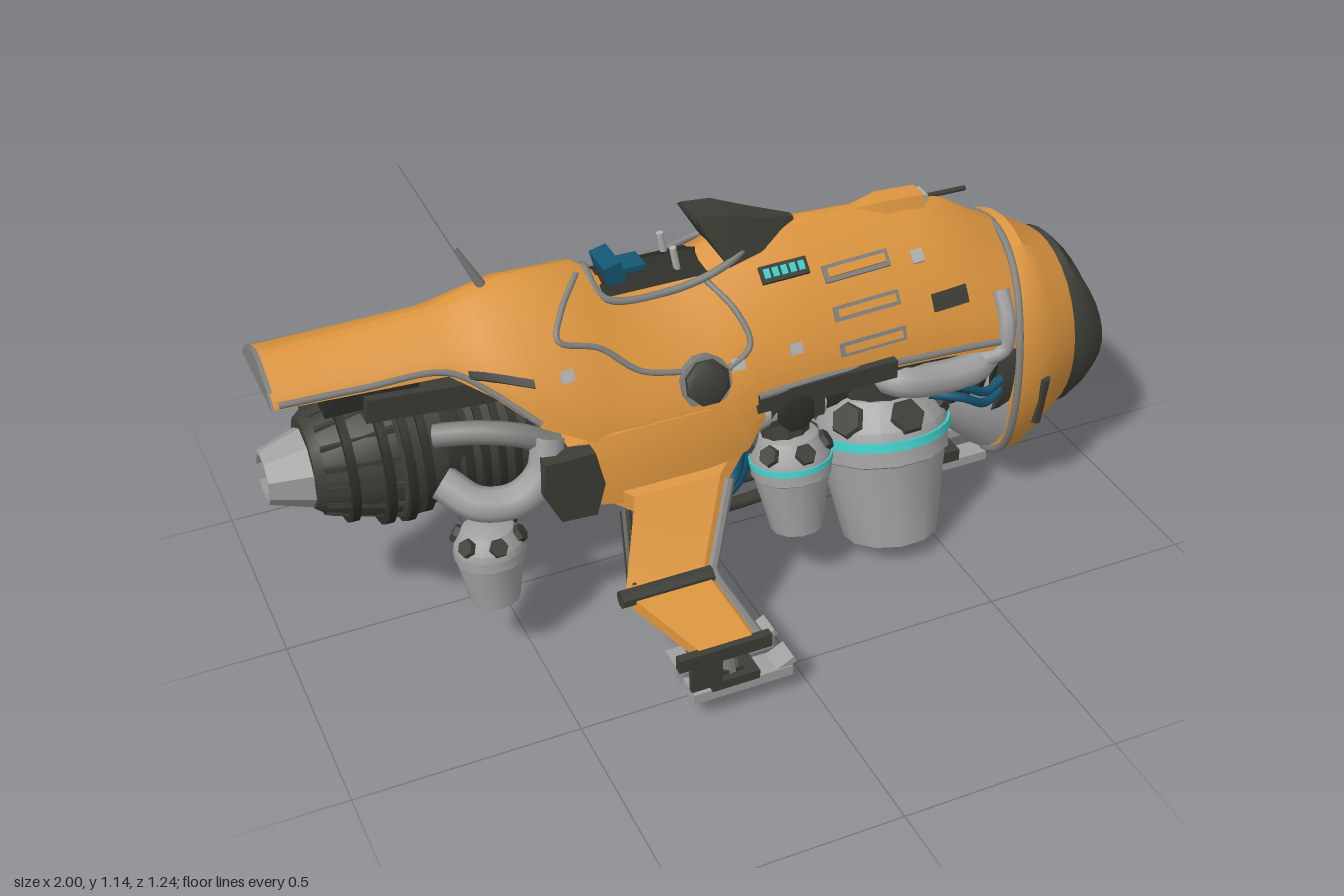
import * as THREE from 'three';
import { toCreasedNormals } from 'three/addons/utils/BufferGeometryUtils.js';

const V = (x, y, z) => new THREE.Vector3(x, y, z);
const paint = (name, color) => {
  const m = new THREE.MeshStandardMaterial({ color });
  m.name = name;
  return m;
};

export function createModel() {
  const model = new THREE.Group();
  model.name = 'aircraft';
  const orange = paint('orange paint', 0xdc953f), dark = paint('dark metal', 0x3d3e37), black = paint('black recess', 0x2c2d27);
  const grey = paint('grey metal', 0xa0a0a0), pale = paint('pale trim', 0xb0b0ae), mid = paint('mid grey metal', 0x80817e);
  const blue = paint('blue hose', 0x155672), cyan = paint('cyan glow', 0x43cfca);

  const add = (name, geo, mat) => {
    const m = new THREE.Mesh(geo, mat);
    m.name = name;
    model.add(m);
    return m;
  };
  // Skin a row of closed cross-sections, turned so that it always faces outward
  const loft = (name, mat, rings, crease = 0.6, cap = true) => {
    const n = rings[0].length, pts = rings.flat(), idx = [];
    for (let i = 0; i < rings.length - 1; i++)
      for (let j = 0; j < n; j++) {
        const a = i * n + j, b = i * n + (j + 1) % n;
        idx.push(a, b, a + n, b, b + n, a + n);
      }
    if (cap) [0, rings.length - 1].forEach((r, e) => {
      const c = pts.length;
      pts.push(rings[r].reduce((s, p) => s.add(p), V(0, 0, 0)).divideScalar(n));
      for (let j = 0; j < n; j++) {
        const a = r * n + j, b = r * n + (j + 1) % n;
        idx.push(...(e ? [c, a, b] : [c, b, a]));
      }
    });
    let vol = 0;
    const mean = pts.reduce((s, p) => s.add(p), V(0, 0, 0)).divideScalar(pts.length);
    const q = pts.map(p => p.clone().sub(mean));
    for (let i = 0; i < idx.length; i += 3) vol += q[idx[i]].dot(q[idx[i + 1]].clone().cross(q[idx[i + 2]]));
    if (vol < 0) idx.reverse();
    const g = new THREE.BufferGeometry().setFromPoints(pts);
    g.setIndex(idx);
    return add(name, toCreasedNormals(g, crease), mat);
  };
  // Turned part: profile of [radius, height] along an axis from a base point
  const turned = (name, mat, base, dir, profile, n = 16, crease = 0.6) => {
    const d = dir.clone().normalize();
    const u = (Math.abs(d.x) > 0.9 ? V(0, 1, 0) : V(1, 0, 0)).cross(d).normalize(), w = d.clone().cross(u);
    return loft(name, mat, profile.map(([r, h]) => Array.from({ length: n }, (_, j) => {
      const a = (j + 0.5) / n * Math.PI * 2;
      return base.clone().addScaledVector(d, h).addScaledVector(u, r * Math.cos(a)).addScaledVector(w, r * Math.sin(a));
    })), crease);
  };
  const rod = (name, mat, a, b, r, r2 = r, n = 10) => turned(name, mat, a, b.clone().sub(a), [[r, 0], [r2, a.distanceTo(b)]], n);
  const box = (name, mat, c, sx, sy, sz, rx = 0, rz = 0) => {
    const m = add(name, new THREE.BoxGeometry(sx, sy, sz), mat);
    m.position.copy(c);
    m.rotation.set(rx, 0, rz);
    return m;
  };
  const tube = (name, mat, pts, r, closed = false) =>
    add(name, new THREE.TubeGeometry(new THREE.CatmullRomCurve3(pts, closed), pts.length * 6, r, 8, closed), mat);
  // Upright oval section; bend pushes its top and bottom along x
  const oval = (x, cy, ry, rz, bend = 0, n = 32) => Array.from({ length: n }, (_, j) => {
    const a = j / n * Math.PI * 2;
    return V(x + bend * Math.cos(a) ** 2, cy + ry * Math.cos(a), rz * Math.sin(a));
  });

  // Main hull: stations of x, top, bottom, half width
  const stations = [[-0.98, .775, .715, .12], [-0.62, .79, .70, .125], [-0.54, .815, .65, .165], [-0.46, .83, .59, .23],
    [-0.3, .83, .5, .245], [-0.25, .79, .5, .25], [-0.04, .78, .5, .25], [0.04, .815, .52, .24], [0.2, .815, .52, .23],
    [0.5, .80, .5, .225], [0.58, .785, .49, .225], [0.66, .735, .48, .225], [0.76, .675, .45, .215]];
  const station = x => {
    const i = Math.max(1, stations.findIndex(s => s[0] >= x)), a = stations[i - 1], b = stations[i];
    return a.map((v, k) => v + (b[k] - v) * (x - a[0]) / (b[0] - a[0]));
  };
  const hullPoint = (x, y, s, off = 0) => {
    const [, top, bot, hw] = station(x), t = Math.min(1, Math.max(0, (y - bot) / (top - bot)));
    const p = V(x, bot + t * (top - bot), hw * Math.pow(1 - Math.pow(t, 1.6), 0.78) * s);
    return p.add(V(0, p.y - 0.5, p.z).normalize().multiplyScalar(off));
  };
  loft('hull', orange, stations.map(([x, top, bot]) => {
    const half = s => Array.from({ length: 12 }, (_, k) => hullPoint(x, top - (top - bot) * (1 - k / 12) ** 1.7, s));
    return [...half(1), V(x, top, 0), ...half(-1).reverse()];
  }), 0.7);
  // Thin plate that follows the hull between two x and two y values
  const patch = (name, mat, x0, x1, y0, y1, s, off = 0.005, slant = 0) =>
    loft(name, mat, [0, .25, .5, .75, 1].map(f => {
      const x = x0 + (x1 - x0) * f, ys = [0, 1, 2, 3].map(k => y0 + (y1 - y0) * k / 3 + slant * f);
      return [...ys.map(y => hullPoint(x, y, s, off)), ...ys.reverse().map(y => hullPoint(x, y, s, off - 0.009))];
    }), 0.5);

  // Cockpit
  const trim = [[-.27, .0], [-.25, .065], [-.1, .075], [.04, .07], [.14, 0]];
  tube('cockpitTrim', mid, [...trim, ...trim.slice(1, 4).reverse().map(([x, z]) => [x, -z])]
    .map(([x, z]) => V(x, hullPoint(x, 1, 1).y - Math.abs(z) * 0.5, z)), 0.009, true);
  loft('cockpitTub', black, [-.25, -.15, -.04, .02].map(x => [V(x, .76, .066), V(x, .792, 0), V(x, .76, -.066), V(x, .72, 0)]));
  box('seat', blue, V(-.215, .79, 0), .04, .06, .085, 0, .25);
  box('seatCushion', blue, V(-.17, .79, 0), .06, .012, .06);
  for (const z of [.035, -.035]) rod('controlStick', pale, V(-.07, .77, z), V(-.08, .825, z), .008);
  loft('windscreen', dark, [[-.03, .875, .89, .035, .055], [.04, .76, .88, .04, .08], [.13, .765, .845, .03, .065], [.22, .785, .818, .008, .02]]
    .map(([x, lo, hi, wt, wb]) => [V(x, lo, wb), V(x, hi, wt), V(x, hi, -wt), V(x, lo, -wb)]), 0.3);
  // Antenna
  rod('antennaBase', mid, V(-.5, .82, 0), V(-.55, .92, 0), .011, .005);
  rod('antenna', mid, V(-.55, .91, 0), V(-.655, 1.14, 0), .0014, .0008, 5);
  // Nose probe
  loft('probeMount', orange, [[.34, .8, .005, .03], [.44, .812, .025, .04], [.54, .806, .025, .035]]
    .map(([x, y, w, b]) => [V(x, .775, b), V(x, y, w), V(x, y, -w), V(x, .775, -b)]), 0.3);
  box('probeSocket', pale, V(.545, .785, 0), .014, .032, .042);
  rod('probe', dark, V(.55, .785, 0), V(.66, .783, 0), .006);

  // Nose cowl, dark intake lip, fan and spinner
  loft('noseCowl', orange, [[.695, .375, .29, .225, .045], [.695, .375, .305, .245, .045], [.745, .375, .309, .247, .025], [.8, .378, .282, .228], [.875, .382, .232, .192]]
    .map(a => oval(...a)), 0.7);
  tube('cowlSeam', mid, oval(.69, .375, .306, .244, .045, 24), .009, true);
  turned('cowlGap', dark, V(.672, .4, 0), V(1, 0, 0), [[.215, 0], [.222, .035]], 28);
  const lip = [[.86, .382, .222, .186], [.905, .382, .228, .191, -.01], [.945, .38, .205, .178, -.025], [.972, .378, .17, .162, -.035], [.962, .37, .14, .152, -.03], [.88, .37, .125, .14]];
  loft('intakeLip', dark, [...lip, lip[0]].map(a => oval(...a)), 0.8, false);
  loft('fanBack', black, [oval(.87, .37, .135, .145), oval(.885, .37, .135, .145)]);
  for (let i = 0; i < 18; i++) {
    const a = i / 18 * Math.PI * 2, b = box('fanBlade', dark, V(.91, .368 + .095 * Math.cos(a), .1 * Math.sin(a)), .035, .08, .009);
    b.rotation.set(a, .5, 0, 'XYZ');
  }
  turned('spinner', dark, V(.88, .365, 0), V(1, 0, 0), [[.07, 0], [.07, .035], [.055, .07], [.03, .097], [.004, .115]], 20);
  loft('chinPanel', grey, [[.58, .3, .1, .08], [.64, .32, .18, .15], [.71, .345, .27, .21]].map(a => oval(...a)));
  tube('chinTrim', pale, [-.14, -.07, 0, .07, .14].map(z => V(.85 - z * z, .135 + z * z * 2.6, z)), .016);

  // Inner machinery core with ribs
  turned('machineryCore', dark, V(-.66, .46, 0), V(1, 0, 0), [[.13, 0], [.15, .15], [.155, .5], [.145, .8], [.16, 1.0], [.17, 1.36]], 16);
  for (let i = 0; i < 7; i++) turned('coreRib', black, V(.5 + i * .027, .42, 0), V(1, 0, 0), [[.185, 0], [.185, .013]], 20);
  for (let i = 0; i < 5; i++) turned('rearRib', black, V(-.6 + i * .035, .46, 0), V(1, 0, 0), [[.155, 0], [.155, .016]], 18);
  loft('bellyPanel', grey, [[-.42, .37, .08, .13], [-.3, .35, .09, .17], [-.1, .36, .08, .17], [.02, .4, .05, .12]].map(a => oval(...a, 0, 12)), 0.3);

  // Rear engine and its nozzle
  turned('rearEngine', dark, V(-.6, .485, 0), V(-1, 0, 0), [[.13, 0], [.15, .04], [.15, .1], [.165, .1], [.165, .135], [.155, .14], [.145, .2], [.115, .29], [.1, .31]], 20, 0.4);
  for (const [x, r] of [[-.675, .165], [-.715, .175], [-.76, .17], [-.83, .147]])
    turned('engineBand', black, V(x, .485, 0), V(-1, 0, 0), [[r, 0], [r, .018]], 20);
  for (let i = 0; i < 16; i++) {
    const a = i / 16 * Math.PI * 2, p = (x, r) => V(x, .485 + r * Math.cos(a), r * Math.sin(a));
    rod('engineSlat', dark, p(-.74, .155), p(-.89, .112), .009, .009, 4);
  }
  turned('tailNozzle', grey, V(-.89, .475, 0), V(-1, 0, 0), [[.095, 0], [.06, .11], [.05, .11], [.07, .03]], 9, 0.2);
  turned('tailNozzleCore', mid, V(-.92, .475, 0), V(-1, 0, 0), [[.06, 0], [.05, .04]], 9);

  // Thruster pod pointing down: base, upward axis, mouth radius, shoulder radius, height
  const thruster = (base, up, r0, r1, h, glow) => {
    turned('thrusterNozzle', grey, base, up, [[r0 * .9, h * .2], [r0 * .96, 0], [r0, 0], [r1 * .95, h * .8], [r1, h * .82], [r1, h]], 12, 0.55);
    turned('thrusterMouth', mid, base, up, [[r0 * .9, h * .12], [r0 * .9, h * .18]], 12);
    if (glow) turned('thrusterGlow', cyan, base, up, [[r1 * 1.03, h * .97], [r1 * 1.03, h * 1.05]], 20);
    turned('thrusterDome', grey, base, up, [[r1, h], [r1 * .97, h * 1.13], [r1 * .72, h * 1.36], [r1 * .4, h * 1.45]], 20, 0.5);
    const d = up.clone().normalize();
    for (let i = 0; i < 6; i++) {
      const a = i / 6 * Math.PI * 2 + .5, o = V(Math.cos(a), 0, Math.sin(a)).projectOnPlane(d).normalize();
      turned('thrusterVent', dark, base.clone().addScaledVector(d, h * 1.22).addScaledVector(o, r1 * .84), o.clone().addScaledVector(d, .6), [[r1 * .28, 0], [r1 * .24, .012]], 6);
    }
  };

  for (const s of [1, -1]) {
    const P = (x, y, z) => V(x, y, z * s);
    // Lift thrusters
    thruster(P(.4, .03, .2), P(0, .964, -.265), .112, .157, .265, true);
    thruster(P(.13, .16, .245), P(-.02, .97, -.2), .06, .092, .17, true);
    thruster(P(-.575, .16, .2), P(-.01, .99, -.12), .055, .078, .13, false);
    rod('thrusterNeck', dark, P(.4, .36, .11), P(.4, .52, .1), .1, .12, 14);
    rod('thrusterNeck', dark, P(.12, .36, .2), P(.12, .52, .16), .055, .06);
    // Pipes and hoses
    tube('sidePipe', grey, [P(.36, .46, .16), P(.4, .455, .21), P(.5, .44, .215), P(.6, .44, .205), P(.65, .46, .17)], .038);
    tube('cowlPipe', grey, [P(.61, .46, .215), P(.655, .48, .222), P(.665, .54, .215), P(.665, .61, .175)], .02);
    tube('rearPipe', grey, [P(-.66, .46, .15), P(-.6, .42, .2), P(-.52, .42, .22), P(-.46, .47, .22), P(-.44, .55, .2)], .038);
    tube('upperRearPipe', mid, [P(-.66, .56, .12), P(-.58, .57, .16), P(-.5, .56, .19), P(-.42, .52, .2)], .026);
    tube('elbowPipe', grey, [P(.0, .38, .17), P(.04, .45, .2), P(.1, .47, .21), P(.2, .45, .2)], .03);
    for (const o of [0, .03]) tube('frontHose', blue, [P(.48, .42 - o, .2), P(.55, .41 - o, .23), P(.62, .37 - o, .22), P(.69, .38 - o, .19)], .011);
    tube('bellyHose', blue, [P(-.15, .36, .08), P(-.15, .22, .1), P(-.06, .13, .08), P(.05, .19, .08), P(.09, .34, .1)], .018);
    tube('crossHose', blue, [P(-.09, .36, .12), P(-.06, .24, .13), P(.03, .22, .11), P(.06, .36, .1)], .013);
    tube('keelHose', dark, [P(-.18, .32, .05), P(-.12, .17, .05), P(.0, .11, .05), P(.15, .1, .04), P(.32, .13, .04), P(.45, .3, .05)], .016);
    // Side shoulder and wing
    loft('sideShoulder', orange, [[-.44, .37, .52, .24], [-.3, .355, .54, .265], [-.1, .365, .54, .265], [0, .4, .53, .255], [.05, .46, .52, .235]]
      .map(([x, lo, hi, z]) => [P(x, lo, z - .08), P(x, lo + .02, z + .005), P(x, hi - .05, z), P(x, hi, z - .02), P(x, hi, .1)]), 0.4);
    loft('shoulderBack', dark, [.19, .272].map(z => [P(-.44, .37, z), P(-.36, .365, z), P(-.34, .44, z), P(-.36, .525, z), P(-.47, .525, z), P(-.48, .45, z)]), 0.3);
    loft('wing', orange, [[-.36, .02, .41, .22, .05], [-.28, -.06, .375, .285, .04], [-.35, -.15, .245, .4, .032], [-.345, -.15, .23, .425, .03], [-.275, -.135, .208, .605, .026]]
      .map(([x0, x1, y, z, t]) => [P(x0, y - t / 2, z), P(x1 - .02, y - t / 2, z), P(x1, y, z), P(x1 - .02, y + t / 2, z), P(x0, y + t / 2, z)]), 0.3);
    const edge = [P(-.06, .375, .285), P(-.152, .243, .402), P(-.152, .23, .425), P(-.137, .208, .605)];
    for (let i = 0; i < 3; i++) rod('wingLeadingEdge', mid, edge[i], edge[i + 1], .013, .013, 8);
    rod('wingJoint', dark, P(-.37, .243, .415), P(-.16, .243, .415), .02, .02, 8);
    rod('wingStrut', dark, P(-.34, .225, .42), P(-.3, .36, .28), .013);
    box('wingTip', dark, P(-.22, .205, .61), .21, .032, .02);
    box('wingTipFin', dark, P(-.26, .165, .607), .07, .09, .014);
    // Wing landing gear: legs with long skids
    box('gearMount', dark, P(-.2, .192, .505), .09, .025, .13);
    for (const z of [.457, .552]) {
      rod('gearLeg', mid, P(-.19, .19, z), P(-.18, .09, z), .02);
      rod('gearBrace', grey, P(-.14, .19, z), P(-.21, .09, z), .01);
      box('skid', grey, P(-.16, .065, z), .23, .025, .06);
      box('skidPad', dark, P(-.18, .088, z), .11, .022, .07);
      box('skidTip', grey, P(-.06, .08, z), .05, .016, .055, 0, .5);
    }
    box('skidBridge', dark, P(-.18, .098, .505), .05, .02, .13);
    // Front landing gear
    rod('frontGearLeg', mid, P(.62, .3, .05), P(.6, .09, .055), .017);
    rod('frontGearBrace', dark, P(.54, .28, .05), P(.62, .1, .055), .011);
    box('frontSkid', grey, P(.62, .062, .055), .22, .024, .05);
    box('frontSkidPad', dark, P(.59, .09, .055), .12, .03, .06);
    // Under-tail rails
    box('tailRail', dark, P(-.6, .65, .105), .4, .055, .06, 0, -.09);
    box('tailRailBlock', black, P(-.78, .685, .09), .2, .045, .05);
    // Hull markings: grooves, vents, glowing grille and seams
    for (const y of [.575, .645, .715]) {
      patch('hullGroove', mid, .24, .405, y - .007, y + .021, s, .005);
      patch('hullGrooveFill', orange, .25, .395, y, y + .014, s, .009);
    }
    patch('grillFrame', dark, .095, .21, .732, .758, s, .006);
    for (let i = 0; i < 5; i++) patch('grillGlow', cyan, .103 + i * .021, .117 + i * .021, .738, .752, s, .009);
    patch('sideVent', dark, .485, .575, .605, .64, s, .007);
    patch('tailSlot', dark, -.58, -.46, .69, .705, s, .006, -.02);
    for (const [x, y] of [[-.02, .6], [.46, .7], [.12, .6], [-.4, .66]]) patch('wearMark', pale, x, x + .03, y, y + .022, s, .005);
    box('lowerSidePanel', dark, P(.2, .515, .222), .34, .045, .04);
    box('lowerSidePanelStep', dark, P(.13, .475, .215), .13, .07, .04);
    turned('lowerPort', black, P(.12, .47, .225), P(0, .1, 1), [[.045, 0], [.045, .025], [.03, .03]], 8);
    turned('sidePort', dark, P(-.085, .59, .2), P(0, .3, 1), [[.052, 0], [.052, .035], [.035, .045]], 8);
    turned('sidePortRing', mid, P(-.085, .585, .19), P(0, .3, 1), [[.06, 0], [.06, .035]], 12);
    rod('cowlSlot', dark, P(.765, .38, .24), P(.762, .25, .222), .014, .014, 8);
    const line = pts => pts.map(([x, y]) => hullPoint(x, y, s, 0));
    tube('rearSeam', mid, line([[-.3, .815], [-.36, .77], [-.385, .73], [-.3, .7], [-.22, .64], [-.13, .62]]), .007);
    tube('frontSeam', mid, line([[-.04, .6], [.03, .64], [.02, .7], [-.02, .75]]), .007);
    tube('lowerSeam', mid, line([[.03, .535], [.2, .535], [.4, .52], [.55, .51], [.66, .5]]), .008);
    tube('tailEdge', mid, line([[-.97, .722], [-.8, .717], [-.62, .708], [-.54, .66], [-.46, .6]]), .007);
  }
  loft('tailEnd', mid, [-.985, -.975].map(x => [V(x, .712, .122), V(x, .748, .088), V(x, .778, .02), V(x, .778, -.02), V(x, .748, -.088), V(x, .712, -.122)]));
  return model;
}
